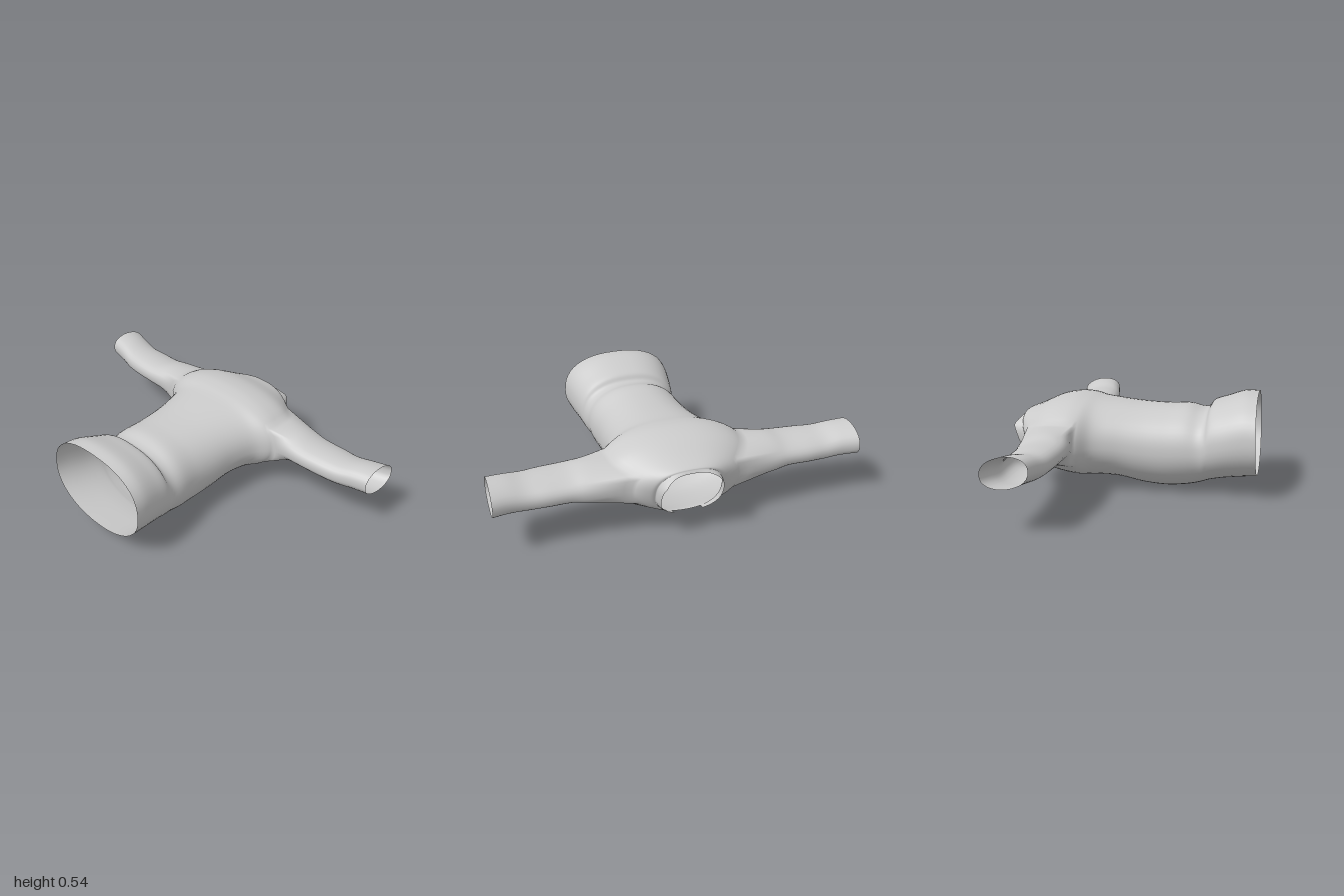
import * as THREE from 'three';
import { mergeVertices } from 'three/addons/utils/BufferGeometryUtils.js';

const N = 48, SUB = 6; // points per ring, rings between two key sections

// Torso sections from hem to neck: x, yMin, yMax, zMin, zMax, roundness, slant
const SECTIONS = [
  [-0.68, 0.09, 0.54, -0.31, 0.35, 2.15, 0.03],
  [-0.60, 0.08, 0.54, -0.30, 0.343, 2.15, 0.02],
  [-0.50, 0.065, 0.51, -0.285, 0.325, 2.1, 0],
  [-0.43, 0.05, 0.485, -0.27, 0.312, 2.1, 0],
  [-0.40, 0.04, 0.45, -0.262, 0.30, 2.05, 0],
  [-0.36, 0.025, 0.447, -0.256, 0.29, 2, 0],
  [-0.29, 0.01, 0.463, -0.26, 0.291, 2, 0],
  [-0.18, 0.002, 0.46, -0.265, 0.284, 2, 0],
  [-0.05, 0.014, 0.463, -0.272, 0.29, 2, 0],
  [0.08, 0.042, 0.473, -0.288, 0.303, 2, 0],
  [0.20, 0.05, 0.485, -0.325, 0.34, 2, 0],
  [0.28, 0.056, 0.498, -0.40, 0.41, 2, 0],
  [0.36, 0.07, 0.50, -0.415, 0.42, 2, 0],
  [0.46, 0.095, 0.48, -0.39, 0.40, 2, 0],
  [0.56, 0.12, 0.43, -0.295, 0.305, 2, 0.08],
  [0.60, 0.12, 0.405, -0.205, 0.225, 2.2, 0.25],
  [0.605, 0.12, 0.393, -0.165, 0.19, 2.4, 0.3],
];
const ARM_FROM = 11 * SUB, ARM_TO = 14 * SUB, ARM_HALF = 4; // armhole range in the grid

// Sleeve sections: distance from the middle, xMin, xMax, yMin, yMax
const SLEEVE = [
  [0.50, 0.265, 0.545, 0.208, 0.392],
  [0.60, 0.262, 0.533, 0.226, 0.376],
  [0.72, 0.270, 0.533, 0.226, 0.374],
  [0.82, 0.285, 0.530, 0.226, 0.374],
  [0.91, 0.305, 0.540, 0.232, 0.388],
  [1.00, 0.320, 0.562, 0.236, 0.395],
];

const spow = (v, e) => Math.sign(v) * Math.abs(v) ** e;

export function createModel() {
  const group = new THREE.Group();
  group.name = 'jacket';
  const pos = [], parts = { torso: [], leftSleeve: [], rightSleeve: [], collar: [] };
  const add = (x, y, z) => pos.push(x, y, z) / 3 - 1;
  const get = (i) => new THREE.Vector3().fromArray(pos, i * 3);
  const quad = (list, a, b, c, d, flip) =>
    list.push(...(flip ? [a, c, b, a, d, c] : [a, b, c, a, c, d]));

  // Torso: smooth rings through the key sections
  const cols = [[0, 1, 2], [3, 4, 5], [6, 6, 6]].map((ids) => new THREE.CatmullRomCurve3(
    SECTIONS.map((s) => new THREE.Vector3(...ids.map((i) => s[i]))), false, 'catmullrom', 0.5));
  const rows = (SECTIONS.length - 1) * SUB;
  for (let i = 0; i <= rows; i++) {
    const [a, b, c] = cols.map((curve) => curve.getPoint(i / rows));
    const [x, y0, y1, z0, z1, p, slant] = [a.x, a.y, a.z, b.x, b.y, b.z, c.x];
    for (let j = 0; j < N; j++) {
      const t = (j / N) * Math.PI * 2, e = 2 / (Math.sin(t) > 0 ? p + 0.25 : p);
      const dy = spow(Math.sin(t), e) * (y1 - y0) / 2;
      add(x + slant * dy, (y0 + y1) / 2 + dy,
        (z0 + z1) / 2 + spow(Math.cos(t), e) * (z1 - z0) / 2);
    }
  }
  const id = (i, j) => i * N + ((j % N) + N) % N;
  for (let i = 0; i < rows; i++) {
    for (let j = 0; j < N; j++) {
      const k = ((j + ARM_HALF) % (N / 2)); // leave both armholes open
      if (i >= ARM_FROM && i < ARM_TO && k < ARM_HALF * 2) continue;
      quad(parts.torso, id(i, j), id(i + 1, j), id(i + 1, j + 1), id(i, j + 1));
    }
  }

  // Sleeves: grow from the armhole edge into oval sections
  for (const side of [1, -1]) {
    const list = side > 0 ? parts.leftSleeve : parts.rightSleeve;
    const loop = [], at = (i, j) => loop.push(id(i, side > 0 ? j : N / 2 - j));
    for (let i = ARM_FROM; i < ARM_TO; i++) at(i, -ARM_HALF);
    for (let j = -ARM_HALF; j < ARM_HALF; j++) at(ARM_TO, j);
    for (let i = ARM_TO; i > ARM_FROM; i--) at(i, ARM_HALF);
    for (let j = ARM_HALF; j > -ARM_HALF; j--) at(ARM_FROM, j);
    const steps = 30;
    const strands = loop.map((start) => {
      const b = get(start), t = Math.atan2((b.y - 0.295) / 0.1, (b.x - 0.42) / 0.14);
      const path = SLEEVE.map(([z, x0, x1, y0, y1]) => {
        const dx = Math.cos(t) * (x1 - x0) / 2;
        const lift = side < 0 ? 0.01 * Math.max(0, (z - 0.8) / 0.2) : 0;
        return new THREE.Vector3((x0 + x1) / 2 + dx,
          (y0 + y1) / 2 + spow(Math.sin(t), 0.9) * (y1 - y0) / 2 - 0.12 * dx + lift, side * z);
      });
      const curve = new THREE.CatmullRomCurve3([b, ...path], false, 'catmullrom', 0.5);
      const strand = [start];
      for (let s = 1; s <= steps; s++) strand.push(add(...curve.getPoint(s / steps).toArray()));
      return strand;
    });
    strands.forEach((s0, k) => {
      const s1 = strands[(k + 1) % strands.length];
      for (let s = 0; s < steps; s++) quad(list, s0[s], s1[s], s1[s + 1], s0[s + 1], side < 0);
    });
  }

  // Collar: standing band around the neck, open at the throat
  const gap = 3, bands = 4, strips = [];
  for (let j = -N / 4 + gap; j <= N * 0.75 - gap; j++) {
    const base = id(rows, j), b = get(base), s = Math.sin((j / N) * Math.PI * 2);
    const height = (0.053 + 0.012 * s) * Math.min(1, 0.12 + (1 - s) * 1.9);
    const strip = [base];
    for (let k = 1; k <= bands; k++) {
      const f = k / bands;
      strip.push(add(b.x + height * f, b.y - 0.012 * f * s, b.z * (1 - 0.06 * f * f)));
    }
    strips.push(strip);
  }
  for (let j = 0; j + 1 < strips.length; j++) {
    for (let k = 0; k < bands; k++) {
      quad(parts.collar, strips[j][k], strips[j][k + 1], strips[j + 1][k + 1], strips[j + 1][k]);
    }
  }

  // Shared normals keep the seams smooth, then each part becomes its own mesh
  const whole = new THREE.BufferGeometry();
  whole.setAttribute('position', new THREE.Float32BufferAttribute(pos, 3));
  whole.setIndex(Object.values(parts).flat());
  whole.computeVertexNormals();
  const material = new THREE.MeshStandardMaterial({ color: 0xcccccc, side: THREE.DoubleSide });
  for (const [name, index] of Object.entries(parts)) {
    whole.setIndex(index);
    const mesh = new THREE.Mesh(mergeVertices(whole.toNonIndexed()), material);
    mesh.name = name;
    group.add(mesh);
  }
  return group;
}
